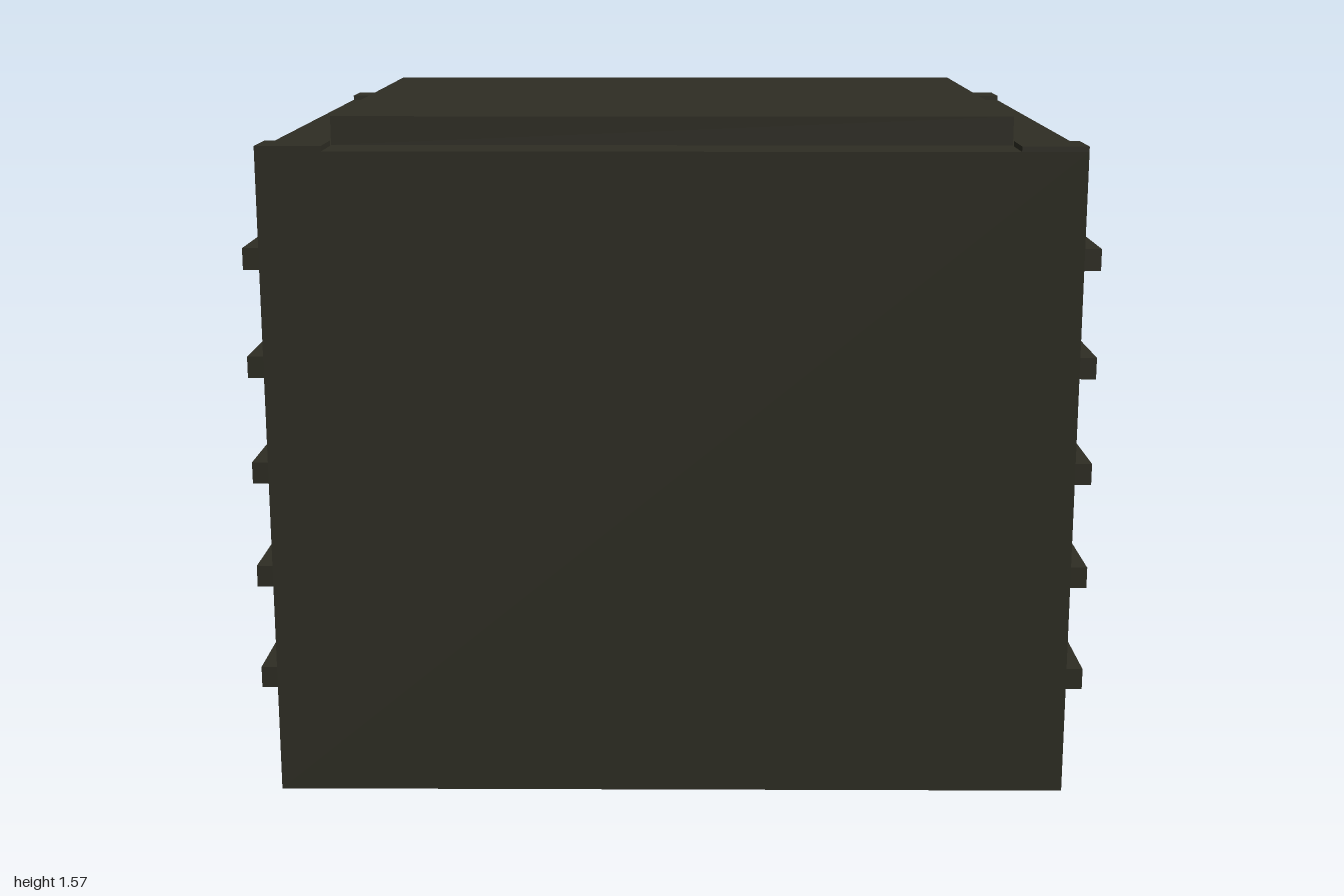
import * as THREE from 'three';

export function createModel() {
  const model = new THREE.Group();
  model.name = 'crate';
  const olive = new THREE.MeshStandardMaterial({ color: 0x2f2e24 });
  olive.name = 'dark olive';

  // Box given by its minimum and maximum corners
  const block = (name, [x0, y0, z0], [x1, y1, z1]) => {
    const mesh = new THREE.Mesh(new THREE.BoxGeometry(x1 - x0, y1 - y0, z1 - z0), olive);
    mesh.name = name;
    mesh.position.set((x0 + x1) / 2, (y0 + y1) / 2, (z0 + z1) / 2);
    model.add(mesh);
    return mesh;
  };

  block('body', [-0.92, 0, -0.755], [0.92, 1.505, 0.755]);
  block('lid', [-0.773, 1.505, -0.617], [0.773, 1.57, 0.617]);

  for (const side of [-1, 1]) {
    const sideName = side > 0 ? 'left' : 'right';
    const mirrored = (name, a, b) => {
      const mesh = block(name, a, b);
      mesh.position.x *= side;
    };

    // Five ribs across each side wall
    for (let i = 0; i < 5; i++) {
      const y = 0.23 + i * 0.25;
      mirrored(`${sideName}Rib${i + 1}`, [0.92, y, -0.692], [0.97, y + 0.05, 0.692]);
    }

    // Handle plate carried by the middle rib, clear of the wall
    mirrored(`${sideName}Handle`, [0.93, 0.63, -0.23], [1, 0.88, 0.23]);

    // Low corner caps on the top
    for (const end of [-1, 1]) {
      const cap = block(`${sideName}${end > 0 ? 'Front' : 'Back'}Cap`,
        [0.772, 1.505, 0.635], [0.92, 1.517, 0.755]);
      cap.position.x *= side;
      cap.position.z *= end;
    }
  }
  return model;
}
